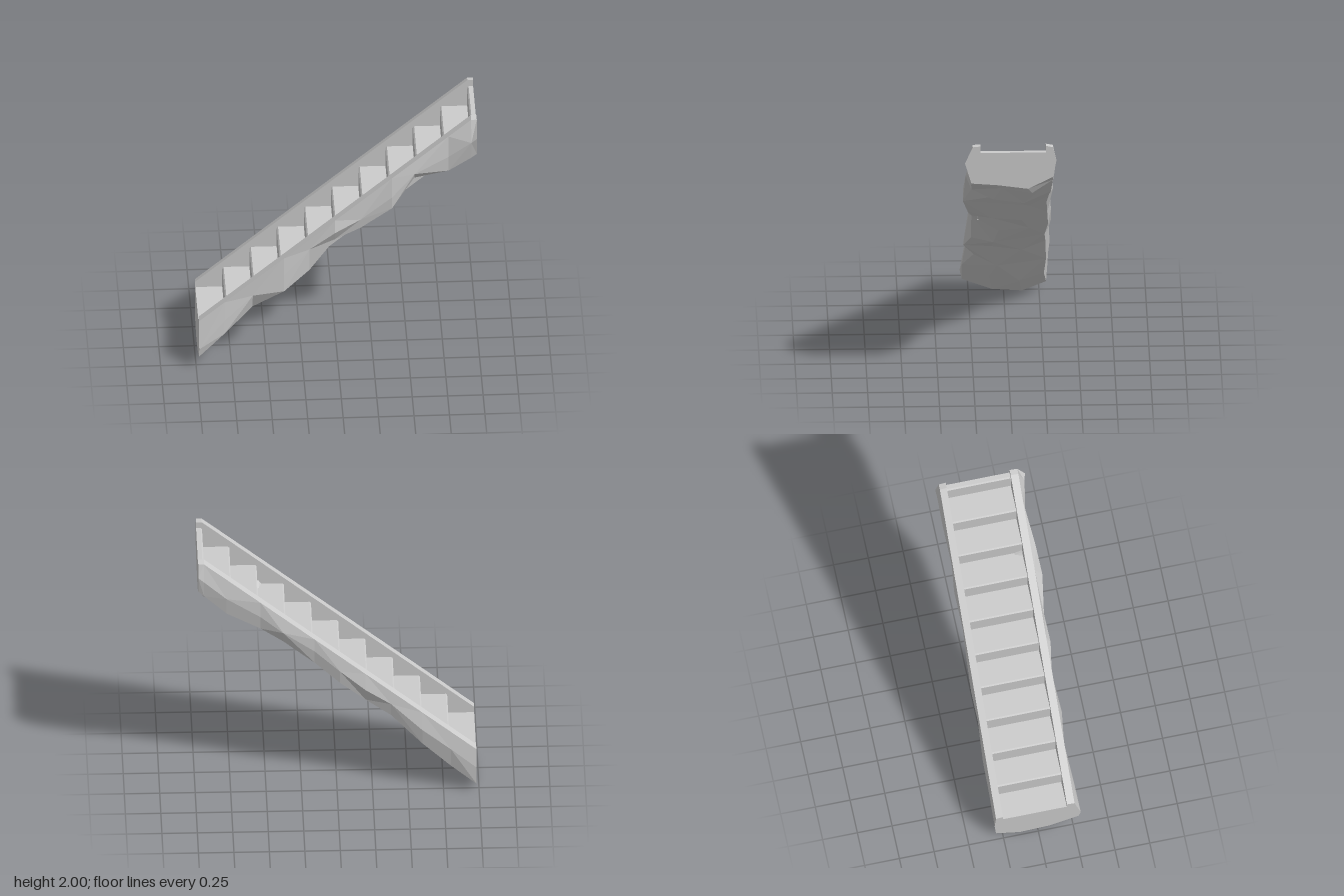
import * as THREE from 'three';

const STEPS = 10, RUN = 0.192, RISE = 0.1615, FIRST_Y = 0.335, X0 = -0.98, X1 = 0.98;
const Z_FRONT = 0.21, Z_BACK = -0.25;

// Top line of the two side walls
const wallTop = x => Math.min(2, 0.38 + (x - X0) * 0.844);

// Rock sections: x, bulge front z/y, low front z/y, keel y front/back, low back z/y, bulge back z/y
const SECTIONS = [
  [-0.98, 0.31, 0.17, 0.295, 0.10, 0.02, 0.005, -0.30, 0.075, -0.31, 0.22],
  [-0.80, 0.29, 0.39, 0.30, 0.29, 0.20, 0.16, -0.28, 0.22, -0.31, 0.38],
  [-0.60, 0.27, 0.58, 0.22, 0.46, 0.37, 0.40, -0.29, 0.42, -0.315, 0.55],
  [-0.38, 0.285, 0.75, 0.30, 0.63, 0.62, 0.59, -0.28, 0.66, -0.305, 0.77],
  [-0.20, 0.265, 0.95, 0.25, 0.77, 0.73, 0.76, -0.27, 0.79, -0.315, 0.90],
  [-0.02, 0.295, 1.10, 0.25, 1.02, 0.90, 0.92, -0.29, 0.95, -0.31, 1.06],
  [0.16, 0.285, 1.20, 0.28, 1.13, 1.08, 1.06, -0.28, 1.12, -0.30, 1.23],
  [0.38, 0.32, 1.40, 0.32, 1.31, 1.29, 1.27, -0.27, 1.30, -0.315, 1.40],
  [0.54, 0.305, 1.58, 0.24, 1.51, 1.42, 1.37, -0.28, 1.42, -0.30, 1.53],
  [0.78, 0.28, 1.70, 0.27, 1.58, 1.50, 1.47, -0.29, 1.56, -0.315, 1.70],
  [0.94, 0.31, 1.83, 0.275, 1.685, 1.66, 1.62, -0.30, 1.72, -0.32, 1.85],
  [0.98, 0.32, 1.87, 0.275, 1.715, 1.70, 1.67, -0.30, 1.76, -0.325, 1.89],
];

// Outline of one section as [z, y], from the front inner wall round below to the back
function outline([x, bfz, bfy, lfz, lfy, kf, kb, lbz, lby, bbz, bby], i) {
  const top = wallTop(x), sway = 0.03 * Math.sin(i * 2.3);
  return [
    [Z_FRONT, top - 0.22], [Z_FRONT, top], [0.265, top - 0.005],
    [bfz, bfy], [lfz, lfy],
    [0.085 + sway, kf], [-0.13 + sway, kb],
    [lbz, lby], [bbz, bby],
    [-0.30, top - 0.01], [Z_BACK, top], [Z_BACK, top - 0.22],
  ];
}

function surface(triangles) {
  const g = new THREE.BufferGeometry();
  g.setAttribute('position', new THREE.Float32BufferAttribute(triangles.flat(2), 3));
  g.computeVertexNormals();
  return g;
}

// Faceted skin between neighbouring sections, with alternating diagonals
function rockSkin() {
  const rings = SECTIONS.map((s, i) => outline(s, i).map(([z, y]) => [s[0], y, z]));
  const tris = [];
  for (let i = 0; i < rings.length - 1; i++) {
    for (let j = 0; j < rings[i].length - 1; j++) {
      const a = rings[i][j], b = rings[i + 1][j], c = rings[i + 1][j + 1], d = rings[i][j + 1];
      if ((i + j) % 2) tris.push([a, b, c], [a, c, d]);
      else tris.push([a, b, d], [b, c, d]);
    }
  }
  return surface(tris);
}

// Flat end face, notched down to the tread
function endFace(index, treadY, side) {
  const pts = outline(SECTIONS[index], index);
  pts[0] = [Z_FRONT, treadY];
  pts[pts.length - 1] = [Z_BACK, treadY];
  const shape = new THREE.Shape(pts.map(([z, y]) => new THREE.Vector2(-side * z, y)));
  return new THREE.ShapeGeometry(shape).rotateY(side * Math.PI / 2).translate(SECTIONS[index][0], 0, 0);
}

// Treads and risers with a small bevel at each nosing
function stairSurface() {
  const profile = [[X0, FIRST_Y]];
  for (let k = 0; k < STEPS; k++) {
    const x = -0.79 + k * RUN, y = FIRST_Y + k * RISE;
    profile.push([x, y], [x, y + RISE - 0.01], [x + 0.01, y + RISE]);
  }
  profile.push([X1, FIRST_Y + STEPS * RISE]);
  const tris = [];
  for (let i = 0; i < profile.length - 1; i++) {
    const [[xa, ya], [xb, yb]] = [profile[i], profile[i + 1]];
    const a = [xa, ya, Z_FRONT], b = [xb, yb, Z_FRONT], c = [xb, yb, Z_BACK], d = [xa, ya, Z_BACK];
    tris.push([a, b, c], [a, c, d]);
  }
  return surface(tris);
}

export function createModel() {
  const group = new THREE.Group();
  group.name = 'rockStaircase';
  const material = new THREE.MeshStandardMaterial({
    color: 0xcccccc, flatShading: true, side: THREE.DoubleSide,
  });
  const add = (name, geometry) => {
    const mesh = new THREE.Mesh(geometry, material);
    mesh.name = name;
    group.add(mesh);
  };
  add('rockBody', rockSkin());
  add('lowerEnd', endFace(0, FIRST_Y, -1));
  add('upperEnd', endFace(SECTIONS.length - 1, FIRST_Y + STEPS * RISE, 1));
  add('steps', stairSurface());
  return group;
}
